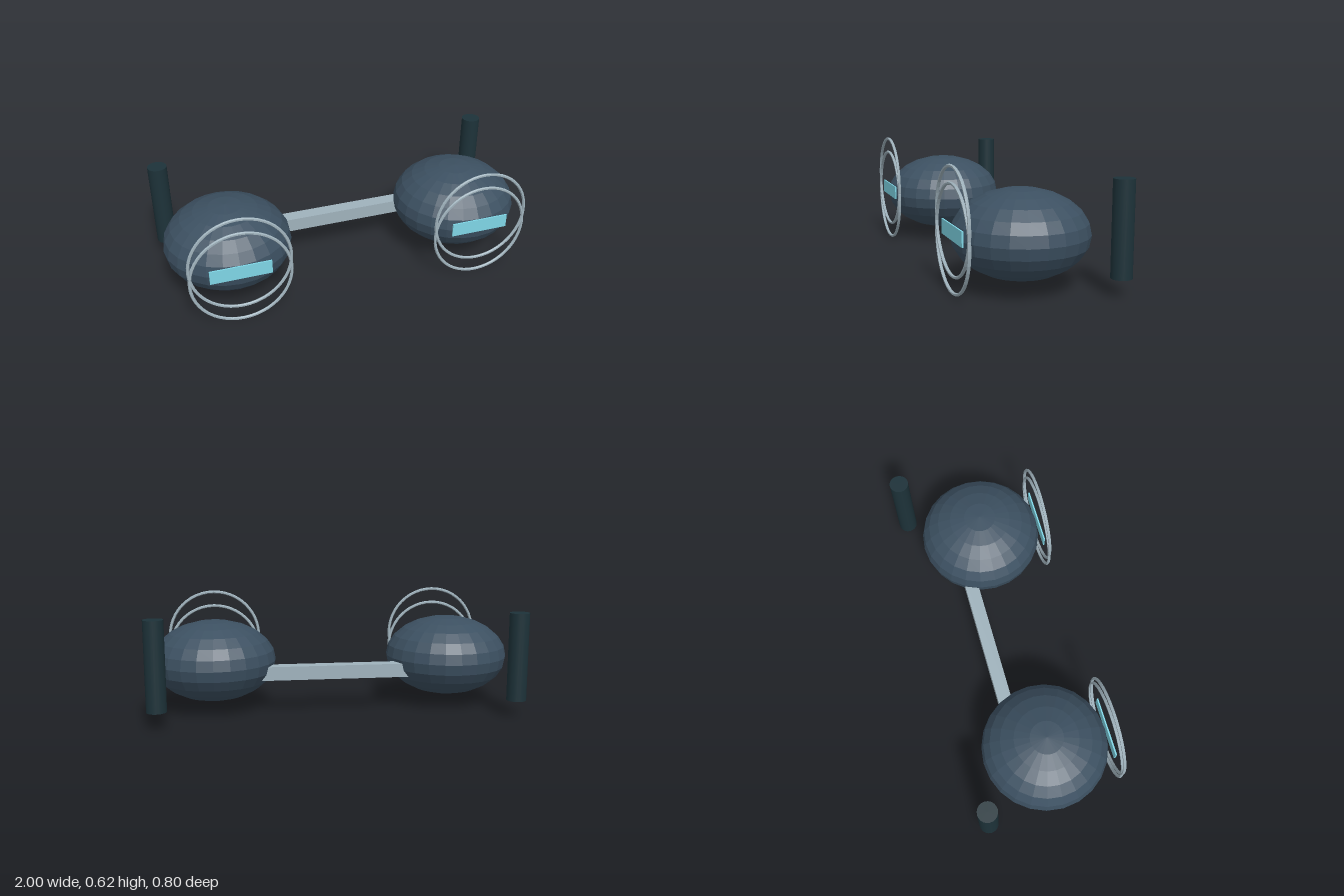
import * as THREE from 'three';

const material = (name, color, flatShading = false) => {
  const m = new THREE.MeshStandardMaterial({ color, flatShading });
  m.name = name;
  return m;
};

export function createModel() {
  const slate = material('slateBlue', 0x3c5061, true);
  const glow = material('paleCyan', 0x7fd6e6);
  const steel = material('steelGrey', 0x9fb2bc, true);
  const dark = material('darkTeal', 0x1d3239);

  const model = new THREE.Group();
  model.name = 'twinPodCraft';

  const add = (parent, name, geometry, mat, x, y, z) => {
    const mesh = new THREE.Mesh(geometry, mat);
    mesh.name = name;
    mesh.position.set(x, y, z);
    parent.add(mesh);
  };

  const podGeo = new THREE.SphereGeometry(0.341, 24, 12).scale(1, 0.222 / 0.341, 1);
  const ringGeo = new THREE.TorusGeometry(0.261, 0.0085, 6, 48);
  const panelGeo = new THREE.BoxGeometry(0.32, 0.075, 0.008);
  const postGeo = new THREE.CylinderGeometry(0.0525, 0.0525, 0.472, 20);

  // Mirrored pods, each with a front panel, two hoops and a rear post
  for (const side of [-1, 1]) {
    const group = new THREE.Group();
    group.name = side > 0 ? 'leftPod' : 'rightPod';
    const x = side * 0.659;
    add(group, 'podBody', podGeo, slate, x, 0.273, 0.047);
    add(group, 'frontPanel', panelGeo, glow, x, 0.3, 0.39);
    add(group, 'lowerHoop', ringGeo, steel, x, 0.27, 0.391);
    add(group, 'upperHoop', ringGeo, steel, x, 0.352, 0.391);
    add(group, 'rearPost', postGeo, dark, side * 0.9475, 0.325, -0.346);
    model.add(group);
  }

  // Square beam between the pods
  add(model, 'connectingBeam', new THREE.BoxGeometry(1.1, 0.075, 0.075), steel, 0, 0.22, -0.087);

  return model;
}
